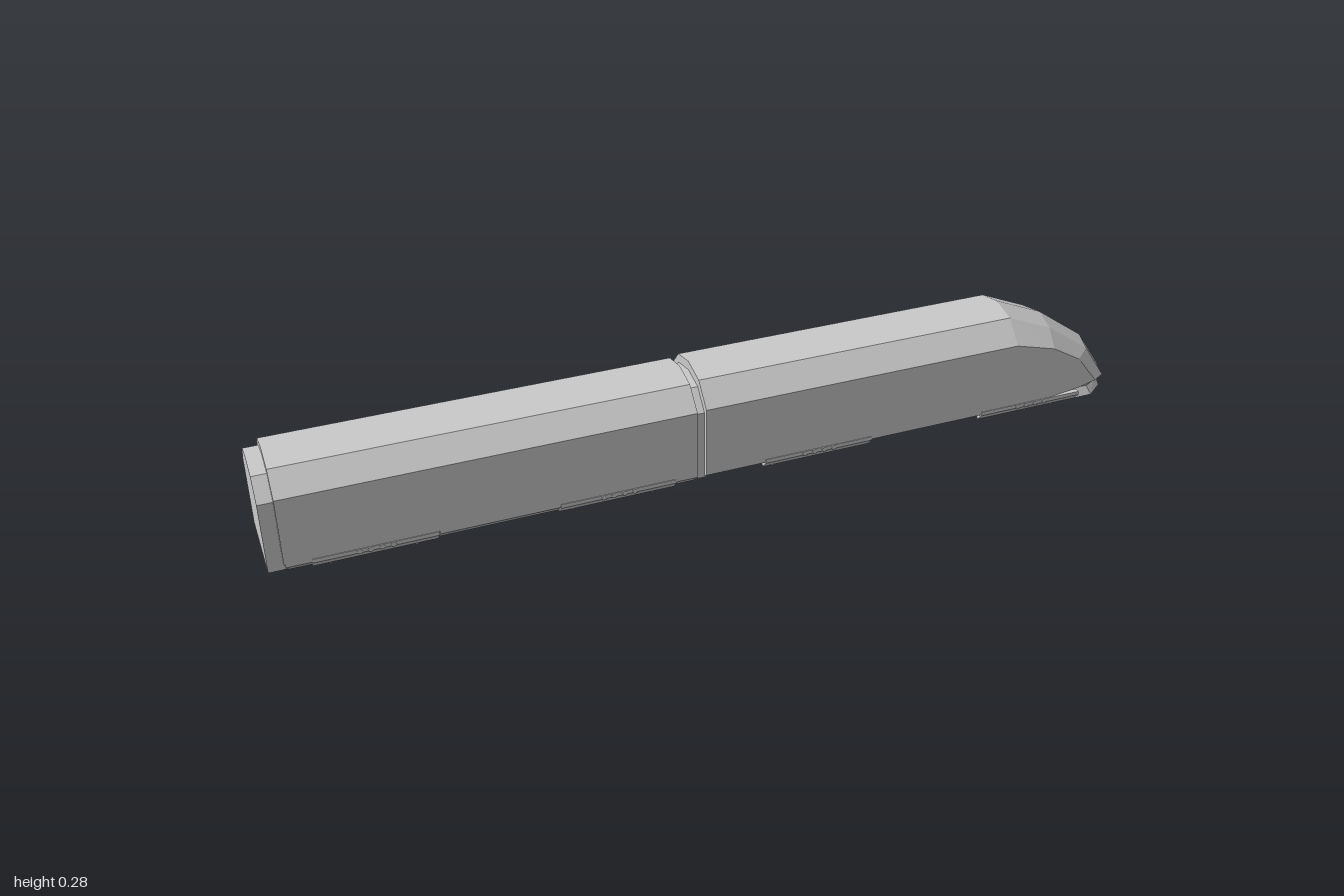
import * as THREE from 'three';

const material = new THREE.MeshStandardMaterial({ color: 0xcccccc, flatShading: true });

function add(parent, name, geometry, x = 0, y = 0, z = 0) {
  const mesh = new THREE.Mesh(geometry, material);
  mesh.name = name;
  mesh.position.set(x, y, z);
  parent.add(mesh);
  return mesh;
}

// Mirrors half a ring (listed on the +z side, ending on the centre line) to a full ring
function mirror(half) {
  const right = half.map(([x, y, z]) => [x, y, -z]);
  const left = half.filter(p => p[2] > 0).reverse();
  return [...right, ...left];
}

// Skins a row of rings and caps both ends
function loft(rings) {
  const n = rings[0].length, positions = [];
  const tri = (...pts) => pts.forEach(p => positions.push(...p));
  for (let i = 0; i < rings.length - 1; i++) {
    for (let j = 0; j < n; j++) {
      const k = (j + 1) % n;
      const a = rings[i][j], b = rings[i][k], c = rings[i + 1][k], d = rings[i + 1][j];
      tri(a, b, c);
      tri(a, c, d);
    }
  }
  const first = rings[0], last = rings[rings.length - 1];
  for (let j = 1; j < n - 1; j++) {
    tri(first[0], first[j + 1], first[j]);
    tri(last[0], last[j], last[j + 1]);
  }
  const g = new THREE.BufferGeometry();
  g.setAttribute('position', new THREE.Float32BufferAttribute(positions, 3));
  g.computeVertexNormals();
  return g;
}

// Prism along x from a half profile of [z, y] points
const prism = (x0, x1, half) =>
  loft([x0, x1].map(x => mirror(half.map(([z, y]) => [x, y, z]))));

const BODY = [[0.107, 0.055], [0.107, 0.213], [0.062, 0.263], [0, 0.277]];
const CAR = [[0.107, 0.055], [0.107, 0.21], [0.062, 0.257], [0, 0.27]];
const GANGWAY = [[0.095, 0.036], [0.095, 0.2], [0.056, 0.244], [0, 0.256]];

// Underfloor box with sides sloping inward
function belly(parent, x0, x1, bottom) {
  add(parent, 'underfloor', prism(x0, x1, [[0.086, bottom], [0.106, 0.047], [0.106, 0.056], [0, 0.056]]));
}

function createBogie(x) {
  const bogie = new THREE.Group();
  bogie.name = 'bogie';
  bogie.position.x = x;
  // Side frame section, drawn in z and y, swept along x
  const section = [[0.08, 0.04], [0.09, 0.026], [0.107, 0.045], [0.107, 0.054], [0.095, 0.054]];
  for (const s of [1, -1]) {
    const ring = px => {
      const pts = section.map(([z, y]) => [px, y, z * s]);
      return s > 0 ? pts.reverse() : pts;
    };
    add(bogie, 'sideFrame', loft([ring(-0.13), ring(0.13)]));
    for (const dx of [-0.035, -0.012, 0.012, 0.035]) {
      add(bogie, 'spring', new THREE.CylinderGeometry(0.006, 0.006, 0.006, 8).rotateX(Math.PI / 2), dx, 0.049, s * 0.106);
    }
    for (const dx of [-0.091, 0.091]) {
      add(bogie, 'wheel', new THREE.CylinderGeometry(0.028, 0.028, 0.012, 12).rotateX(Math.PI / 2), dx, 0.028, s * 0.051);
      add(bogie, 'axleBox', new THREE.BoxGeometry(0.024, 0.014, 0.03), dx, 0.036, s * 0.071);
    }
  }
  for (const dx of [-0.091, 0.091]) {
    add(bogie, 'axle', new THREE.CylinderGeometry(0.006, 0.006, 0.11, 8).rotateX(Math.PI / 2), dx, 0.028, 0);
  }
  add(bogie, 'bolster', new THREE.BoxGeometry(0.05, 0.018, 0.16), 0, 0.046, 0);
  return bogie;
}

export function createModel() {
  const train = new THREE.Group();
  train.name = 'train';

  // Passenger car with its open-end gangway
  const car = new THREE.Group();
  car.name = 'passengerCar';
  train.add(car);
  add(car, 'carBody', prism(-0.968, -0.08, CAR));
  add(car, 'endGangway', prism(-1, -0.96, GANGWAY));
  belly(car, -0.965, -0.91, 0.028);
  belly(car, -0.65, -0.39, 0.028);
  belly(car, -0.13, -0.08, 0.028);
  car.add(createBogie(-0.782), createBogie(-0.26));

  add(train, 'couplingGangway', prism(-0.085, -0.055, GANGWAY));

  // Power car, body tapering into the streamlined nose
  const power = new THREE.Group();
  power.name = 'powerCar';
  train.add(power);
  const straight = x => mirror(BODY.map(([z, y]) => [x, y, z]));
  add(power, 'powerCarBody', loft([
    straight(-0.06),
    straight(0.7),
    mirror([[0.8, 0.055, 0.107], [0.8, 0.185, 0.107], [0.81, 0.216, 0.062], [0.82, 0.226, 0]]),
    mirror([[0.89, 0.055, 0.093], [0.88, 0.135, 0.095], [0.92, 0.14, 0.061], [0.94, 0.141, 0]]),
    mirror([[0.94, 0.055, 0.079], [0.945, 0.056, 0.079], [0.977, 0.055, 0.06], [0.998, 0.055, 0]])
  ]));
  belly(power, -0.06, 0.08, 0.034);
  belly(power, 0.34, 0.622, 0.034);
  power.add(createBogie(0.21), createBogie(0.752));

  // Nose lip tucks in, then the plough flares out below it
  const bow = (y, back, w, side, mid, midZ, tip) =>
    mirror([[back, y, w], [side, y, w], [mid, y, midZ], [tip, y, 0]]);
  add(power, 'plough', loft([
    bow(0.056, 0.88, 0.079, 0.94, 0.975, 0.058, 0.996),
    bow(0.043, 0.885, 0.074, 0.925, 0.96, 0.05, 0.98),
    bow(0.021, 0.885, 0.083, 0.935, 0.978, 0.05, 1.0)
  ]));

  return train;
}
